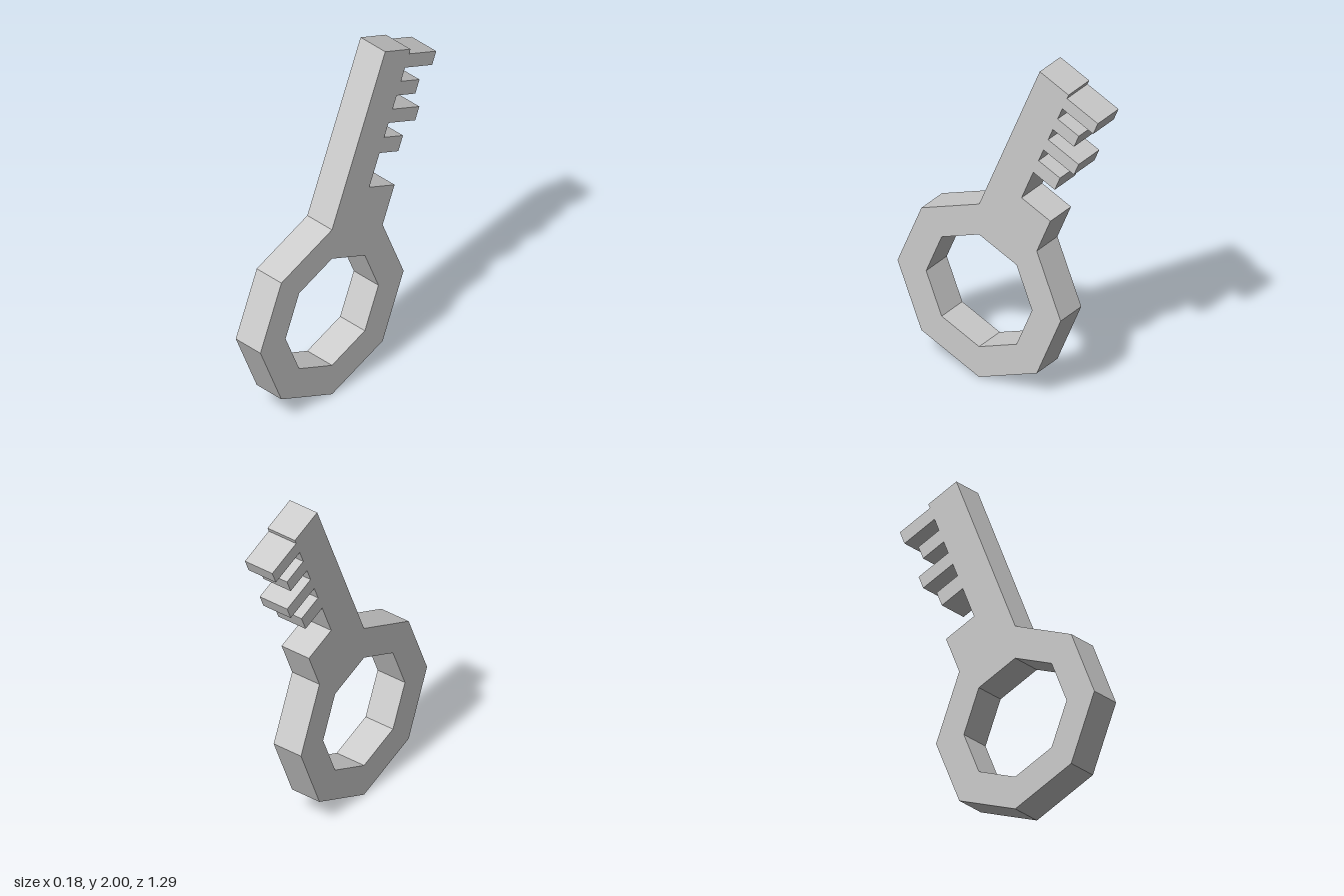
import * as THREE from 'three';

const TILT = Math.PI / 8;
const THICK = 0.183;

// Octagon with a flat side on top; k counts corners anticlockwise from the upper right one
function corner(r, k) {
  const a = Math.PI * 3 / 8 + k * Math.PI / 4;
  return new THREE.Vector2(r * Math.cos(a), r * Math.sin(a));
}

export function createModel() {
  const group = new THREE.Group();
  const material = new THREE.MeshStandardMaterial({ color: 0xcccccc, flatShading: true });

  // Outline of the upright key, with the centre of the bow at the origin
  const R = 0.527, shaftLeft = corner(R, 1).x, shaftTop = 1.511;
  const points = [];
  for (let k = 1; k <= 8; k++) points.push(corner(R, k));

  // Collar beside the shaft
  points.push(new THREE.Vector2(-shaftLeft, 0.717), new THREE.Vector2(0, 0.717));

  // Teeth: bottom, top, length
  const teeth = [
    [0.914, 1.004, 0.15],
    [1.087, 1.166, 0.213],
    [1.245, 1.326, 0.148],
    [1.405, 1.484, 0.216],
  ];
  for (const [low, high, length] of teeth) {
    points.push(
      new THREE.Vector2(0, low), new THREE.Vector2(length, low),
      new THREE.Vector2(length, high), new THREE.Vector2(0, high),
    );
  }

  // Shaft end
  points.push(new THREE.Vector2(0, shaftTop), new THREE.Vector2(shaftLeft, shaftTop));

  // Opening in the bow
  const shape = new THREE.Shape(points);
  const hole = [];
  for (let k = 8; k >= 1; k--) hole.push(corner(0.342, k));
  shape.holes.push(new THREE.Path(hole));

  // Extrude, lean backwards and stand on the lowest corner
  const geometry = new THREE.ExtrudeGeometry(shape, { depth: THICK, bevelEnabled: false });
  geometry.translate(0, 0, -THICK / 2);
  geometry.rotateZ(-TILT);
  geometry.rotateY(Math.PI / 2);
  geometry.translate(0, R, 0.122);

  const key = new THREE.Mesh(geometry, material);
  key.name = 'key';
  group.add(key);
  return group;
}
